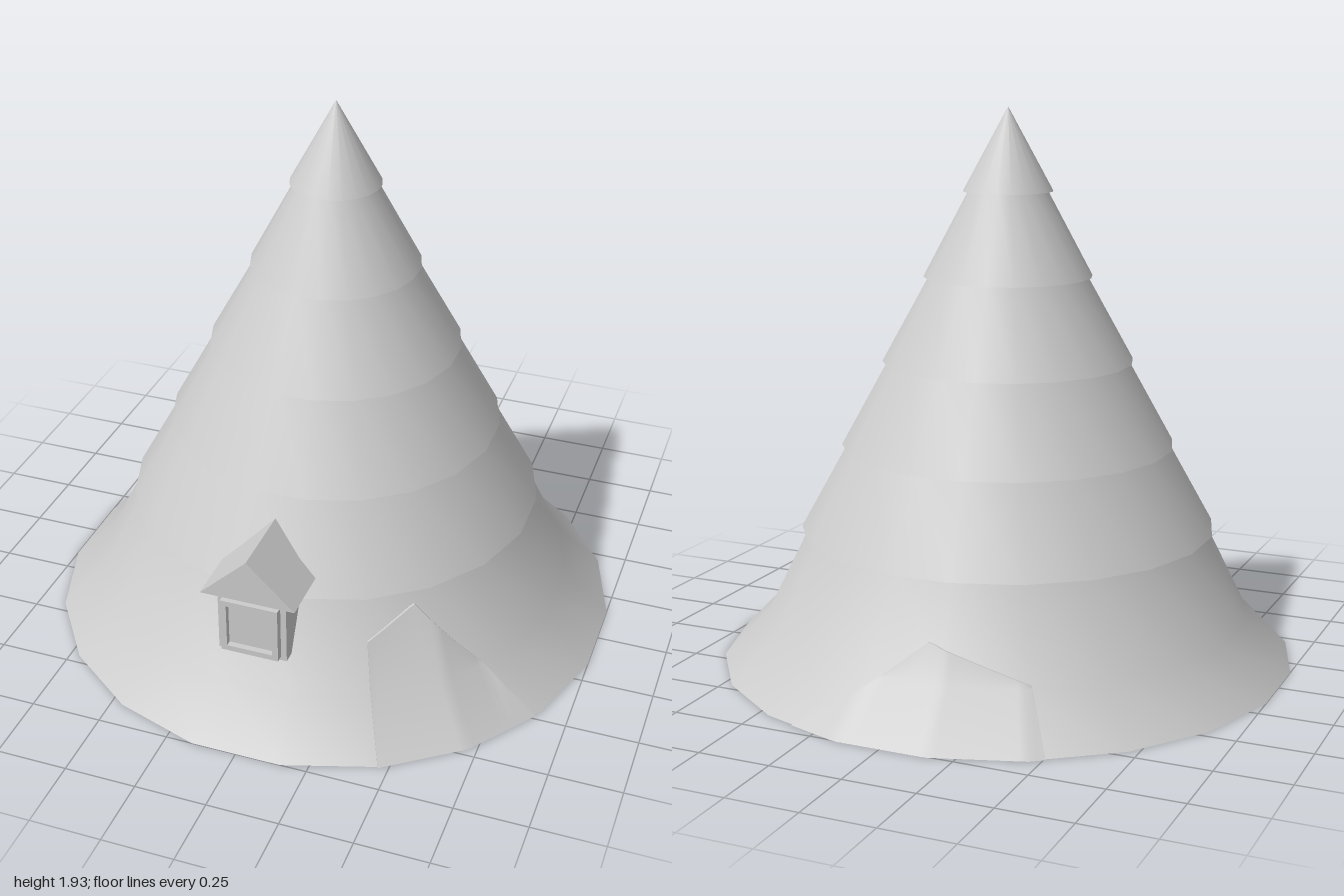
import * as THREE from 'three';
import { toCreasedNormals } from 'three/addons/utils/BufferGeometryUtils.js';

const SIDES = 20;
const STEP = (Math.PI * 2) / SIDES;
const rad = THREE.MathUtils.degToRad;

export function createModel() {
  const group = new THREE.Group();
  const grey = new THREE.MeshStandardMaterial({ color: 0xcccccc });
  grey.name = 'plain grey';
  const greyShell = grey.clone();
  greyShell.side = THREE.DoubleSide;

  function add(name, geometry, material = grey) {
    const mesh = new THREE.Mesh(geometry, material);
    mesh.name = name;
    group.add(mesh);
    return mesh;
  }

  // Twenty-sided turned part; radii are measured to the flat of a side
  function turned(points) {
    const k = 1 / Math.cos(STEP / 2);
    const profile = points.map(([r, y]) => new THREE.Vector2(r * k, y));
    return toCreasedNormals(new THREE.LatheGeometry(profile, SIDES, STEP / 2), rad(35));
  }

  // Flared base, closed underneath
  add('flaredBase', turned([[0, 0], [1, 0], [0.84, 0.17], [0.69, 0.475]]));

  // Overlapping conical tiers, each with a narrow ledge underneath
  const tiers = [[0.72, 0.47], [0.576, 0.765], [0.433, 1.06], [0.29, 1.355], [0.154, 1.648], [0, 1.935]];
  for (let i = 0; i < tiers.length - 1; i++) {
    const [r, y] = tiers[i];
    const [nextR, nextY] = tiers[i + 1];
    const topR = Math.max(0, nextR - 0.018);
    add(`tier${i + 1}`, turned([[r - 0.06, y], [r, y], [topR, nextY]]));
  }

  // Distance from the axis to the faceted base at a given angle and height
  function baseRadius(angle, y) {
    const flat = y < 0.17 ? 1 - (y / 0.17) * 0.16 : 0.84 - ((y - 0.17) / 0.305) * 0.15;
    return flat / Math.cos(angle - Math.round(angle / STEP) * STEP);
  }

  // Raised patch that follows the base; outline gives [angle in degrees, top height]
  function patch(outline) {
    const heightAt = (a) => {
      for (let i = 1; i < outline.length; i++) {
        const [a0, y0] = outline[i - 1], [a1, y1] = outline[i];
        if (a <= a1) return y0 + ((y1 - y0) * (a - a0)) / (a1 - a0);
      }
      return 0;
    };
    const start = outline[0][0], end = outline[outline.length - 1][0];
    const count = Math.ceil((end - start) / 1.5);
    const positions = [], index = [];
    const ROWS = 4;
    for (let c = -1; c <= count + 1; c++) {
      const deg = THREE.MathUtils.clamp(start + ((end - start) * c) / count, start, end);
      const top = heightAt(deg), a = rad(deg);
      const sunk = c < 0 || c > count;
      [0, Math.min(0.17, top), top, top].forEach((y, row) => {
        const r = baseRadius(a, y) + (sunk || row === 3 ? -0.012 : 0.007);
        positions.push(Math.sin(a) * r, y, Math.cos(a) * r);
      });
    }
    for (let c = 0; c < count + 2; c++) {
      for (let row = 0; row < ROWS - 1; row++) {
        const p = c * ROWS + row, q = p + ROWS;
        index.push(p, q, q + 1, p, q + 1, p + 1);
      }
    }
    const geometry = new THREE.BufferGeometry();
    geometry.setAttribute('position', new THREE.Float32BufferAttribute(positions, 3));
    geometry.setIndex(index);
    return toCreasedNormals(geometry, rad(35));
  }
  add('frontPatch', patch([[27.2, 0.33], [40.5, 0.42], [56, 0.17], [61.5, 0]]), greyShell);
  add('backPatch', patch([[159.6, 0], [185, 0.29], [208.5, 0.18], [210, 0]]), greyShell);

  // Dormer walls, set into the cone
  const walls = new THREE.BoxGeometry(0.24, 0.25, 0.33);
  walls.translate(0, 0.415, 0.66);
  add('dormerWalls', walls);

  // Gabled dormer roof
  const gable = new THREE.Shape();
  gable.moveTo(-0.165, 0.53);
  gable.lineTo(0.165, 0.53);
  gable.lineTo(0, 0.687);
  gable.closePath();
  const roof = new THREE.ExtrudeGeometry(gable, { depth: 0.365, bevelEnabled: false });
  roof.translate(0, 0, 0.5);
  add('dormerRoof', roof);

  // Square window frames around a recessed pane
  function square(half, Type) {
    const s = new Type();
    s.moveTo(-half, -half);
    s.lineTo(half, -half);
    s.lineTo(half, half);
    s.lineTo(-half, half);
    s.closePath();
    return s;
  }
  function frame(name, outer, inner, front) {
    const shape = square(outer, THREE.Shape);
    shape.holes.push(square(inner, THREE.Path));
    const depth = front - 0.81;
    const geometry = new THREE.ExtrudeGeometry(shape, { depth, bevelEnabled: false });
    geometry.translate(0, 0.405, 0.81);
    add(name, geometry);
  }
  frame('windowFrame', 0.1, 0.08, 0.853);
  const pane = new THREE.BoxGeometry(0.16, 0.16, 0.008);
  pane.translate(0, 0.405, 0.828);
  add('windowPane', pane);

  return group;
}
